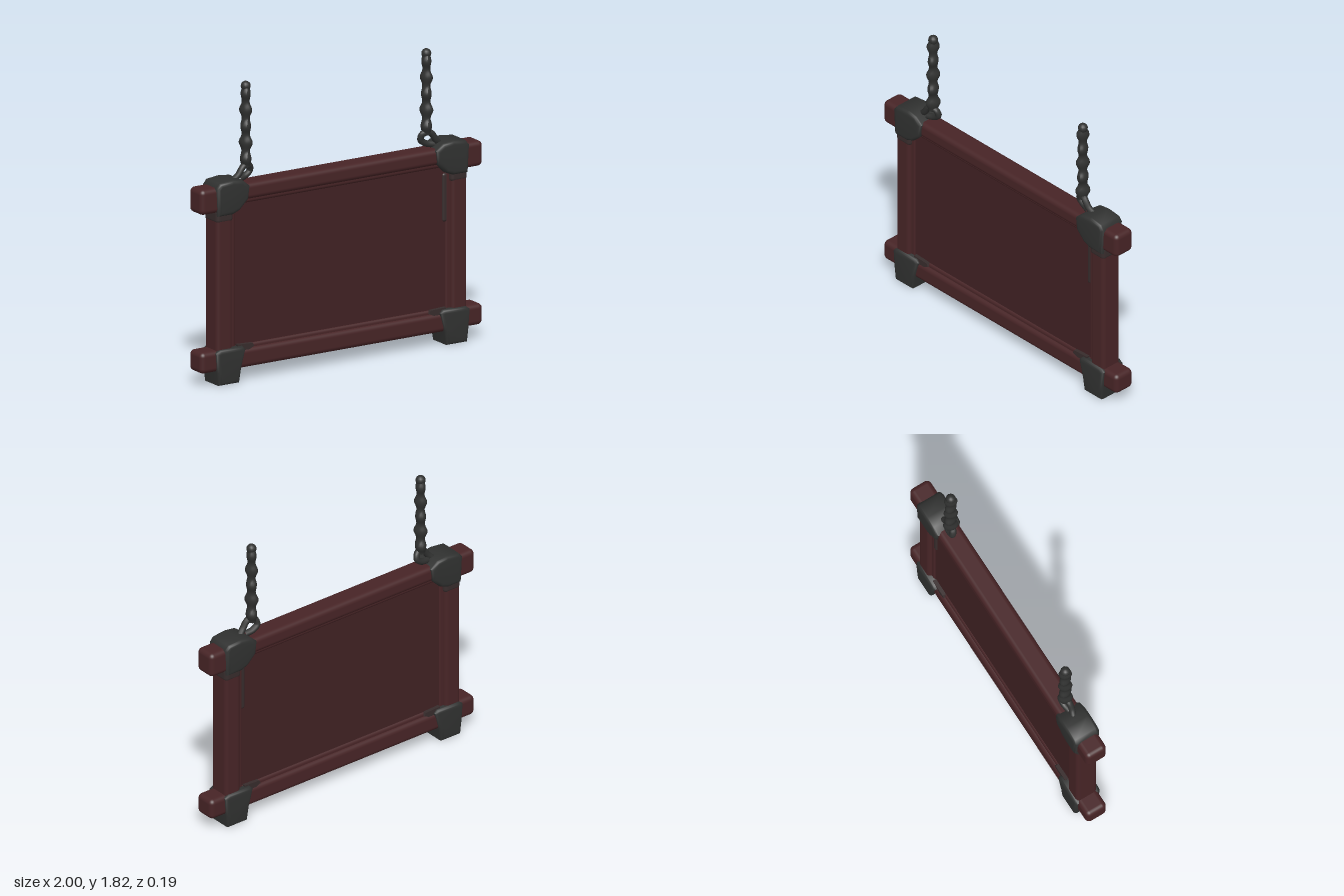
import * as THREE from 'three';
import { RoundedBoxGeometry } from 'three/addons/geometries/RoundedBoxGeometry.js';
import { toCreasedNormals } from 'three/addons/utils/BufferGeometryUtils.js';

const mat = (name, color) => new THREE.MeshStandardMaterial({ name, color });

export function createModel() {
  const wood = mat('redBrownWood', 0x472426);
  const panelWood = mat('panelWood', 0x402123);
  const iron = mat('darkIron', 0x303130);
  const stain = mat('sootStain', 0x372c2c);

  const model = new THREE.Group();
  model.name = 'hangingSign';
  const board = new THREE.Group();
  board.name = 'board';
  board.rotation.y = -0.011;
  model.add(board);

  const add = (parent, name, geometry, material) => {
    const mesh = new THREE.Mesh(geometry, material);
    mesh.name = name;
    parent.add(mesh);
    return mesh;
  };

  // Rounded block given by its limits, centred on z = 0
  const block = (name, x0, x1, y0, y1, depth, r, material) => {
    const mesh = add(board, name, new RoundedBoxGeometry(x1 - x0, y1 - y0, depth, 4, r), material);
    mesh.position.set((x0 + x1) / 2, (y0 + y1) / 2, 0);
    return mesh;
  };

  // Bevelled plate cut from an outline; side mirrors it in x
  const plate = (name, outline, side, depth, bevel, material) => {
    const pts = outline.map(([x, y]) => new THREE.Vector2(x * side, y));
    const geo = new THREE.ExtrudeGeometry(new THREE.Shape(pts), {
      depth: depth - 2 * bevel, bevelEnabled: bevel > 0, bevelSize: bevel,
      bevelOffset: -bevel, bevelThickness: bevel, bevelSegments: 4,
    });
    geo.translate(0, 0, -(depth - 2 * bevel) / 2);
    return add(board, name, toCreasedNormals(geo, 0.9), material);
  };

  // Recessed panel and frame
  block('panel', -0.82, 0.82, 0.14, 1.16, 0.08, 0.01, panelWood);
  block('topRail', -0.9, 0.9, 1.11, 1.21, 0.14, 0.03, wood);
  block('topRailLip', -0.8, 0.8, 1.085, 1.15, 0.1, 0.02, wood);
  block('bottomRail', -0.9, 0.9, 0.08, 0.2, 0.14, 0.03, wood);
  block('bottomRailLip', -0.8, 0.8, 0.17, 0.225, 0.1, 0.02, wood);

  const topBracket = [[0.66, 1.2], [0.67, 1.12], [0.73, 1.06], [0.78, 1.04], [0.885, 1.04],
    [0.895, 1.21], [0.87, 1.24], [0.78, 1.25], [0.71, 1.24]];
  const bottomBracket = [[0.69, 0.2], [0.72, 0.09], [0.735, 0.0], [0.88, 0.0], [0.89, 0.08],
    [0.9, 0.2], [0.87, 0.22], [0.71, 0.22]];

  for (const side of [-1, 1]) {
    const s = side < 0 ? 'right' : 'left';
    const sorted = (a, b) => (side > 0 ? [a, b] : [-b, -a]);

    // Posts and projecting rail ends
    block(s + 'Post', ...sorted(0.775, 0.888), 0.1, 1.16, 0.14, 0.025, wood);
    block(s + 'PostLip', ...sorted(0.745, 0.8), 0.14, 1.14, 0.095, 0.015, wood);
    block(s + 'TopRailEnd', ...sorted(0.84, 1.0), 1.06, 1.215, 0.14, 0.03, wood);
    block(s + 'BottomRailEnd', ...sorted(0.84, 1.0), 0.085, 0.215, 0.14, 0.03, wood);

    // Iron corner brackets
    plate(s + 'TopBracket', topBracket, side, 0.175, 0.022, iron);
    plate(s + 'BottomBracket', bottomBracket, side, 0.175, 0.022, iron);
    plate(s + 'BottomGusset', [[0.62, 0.205], [0.72, 0.16], [0.74, 0.23], [0.63, 0.225]], side, 0.125, 0, stain);
    block(s + 'PostStain', ...sorted(0.77, 0.89), 0.99, 1.08, 0.144, 0.025, stain);

    // Hook loop joining the bracket to the chain
    const loop = new THREE.CatmullRomCurve3([
      [0.73, 1.225, 0], [0.7, 1.255, 0.01], [0.66, 1.305, 0.01], [0.615, 1.3, 0],
      [0.605, 1.265, -0.01], [0.64, 1.237, -0.01], [0.69, 1.225, 0],
    ].map(([x, y, z]) => new THREE.Vector3(x * side, y, z)));
    add(board, s + 'HookLoop', new THREE.TubeGeometry(loop, 32, 0.02, 10), iron);

    // Chain: swelling column, its wide axis turning from link to link
    const chain = new THREE.CylinderGeometry(1, 1, 0.5, 14, 60);
    const p = chain.attributes.position;
    for (let i = 0; i < p.count; i++) {
      const t = (p.getY(i) + 0.25) / 0.5;
      const swell = 0.5 - 0.5 * Math.cos(t * Math.PI * 10);
      const taper = 1 - 0.15 * t;
      const rx = (0.025 + 0.009 * swell) * taper;
      const rz = (0.03 + 0.017 * swell) * taper;
      const a = Math.sin(t * Math.PI * 5) * 0.4;
      const x = p.getX(i) * rx, z = p.getZ(i) * rz;
      p.setX(i, x * Math.cos(a) - z * Math.sin(a));
      p.setZ(i, x * Math.sin(a) + z * Math.cos(a));
    }
    chain.computeVertexNormals();
    add(board, s + 'Chain', chain, iron).position.set(side * 0.64, 1.545, 0);
    const tip = add(board, s + 'ChainTip', new THREE.SphereGeometry(0.03, 14, 10), iron);
    tip.position.set(side * 0.64, 1.792, 0);
  }

  // Soot streak beside the left post
  block('sootStreak', 0.725, 0.76, 0.75, 1.05, 0.098, 0.015, stain);
  return model;
}
